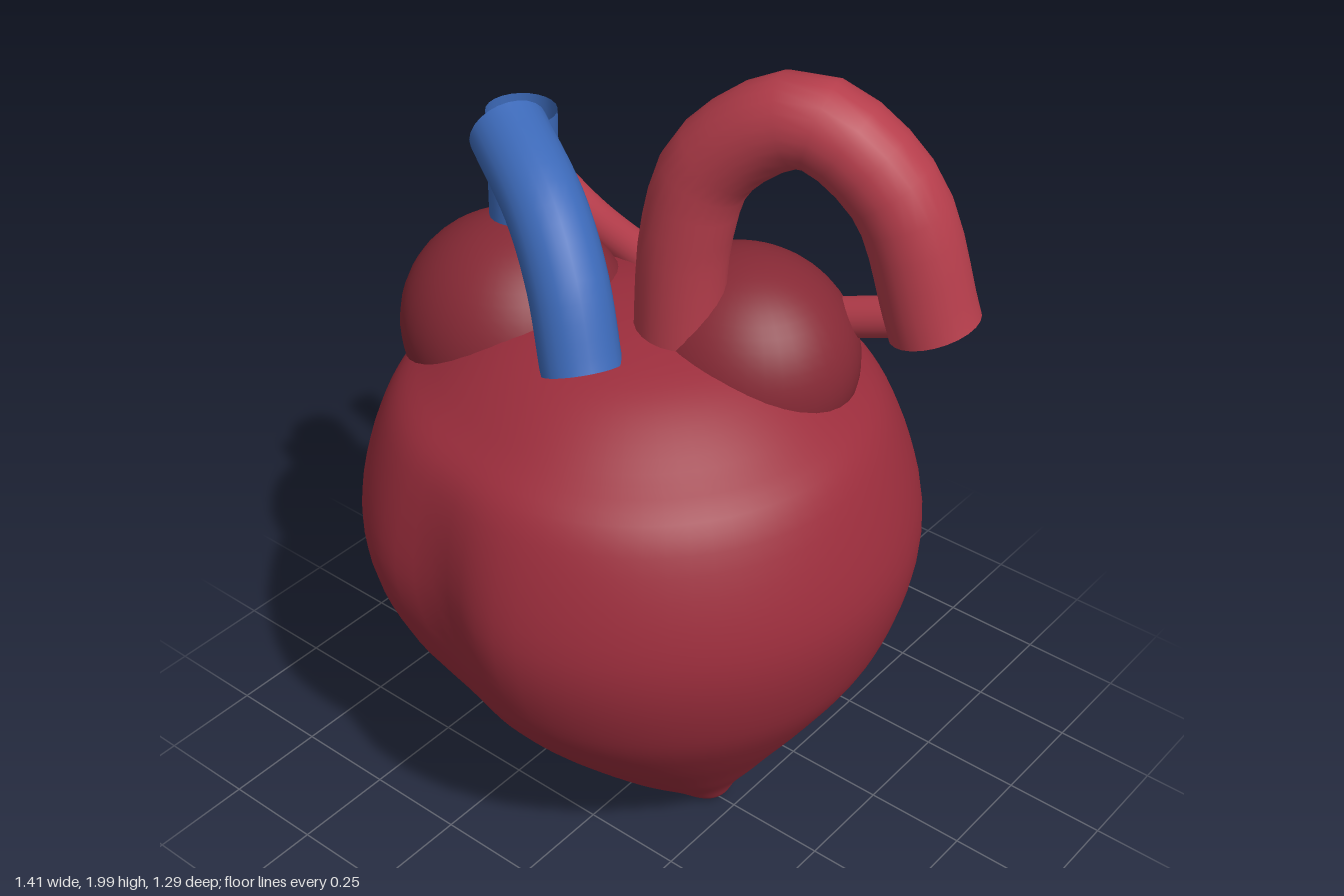
import * as THREE from 'three';
import { mergeVertices } from 'three/addons/utils/BufferGeometryUtils.js';

const V = (x, y, z) => new THREE.Vector3(x, y, z);
const material = (color) => new THREE.MeshStandardMaterial({ color, side: THREE.DoubleSide });
const bodyRed = material(0x9b2d3c);
const atriumRed = material(0x862935);
const arteryRed = material(0xb53d4b);
const veinBlue = material(0x3c69b8);

function addMesh(group, name, geometry, mat) {
  const mesh = new THREE.Mesh(geometry, mat);
  mesh.name = name;
  group.add(mesh);
  return mesh;
}

// Open vessel swept along a smooth path
function addVessel(group, name, points, radius, mat, segments = 16) {
  const path = new THREE.CatmullRomCurve3(points.map((p) => V(...p)));
  addMesh(group, name, new THREE.TubeGeometry(path, segments, radius, 24), mat);
}

// Ventricles: a lathed drop, leaning to its tip, with a shallow groove in front
function ventricleGeometry() {
  const profile = new THREE.SplineCurve([
    [0, 0], [0.05, 0.018], [0.115, 0.07], [0.27, 0.2], [0.46, 0.4], [0.595, 0.6],
    [0.65, 0.84], [0.575, 1.1], [0.46, 1.21], [0.31, 1.305], [0.14, 1.35], [0, 1.36],
  ].map(([r, y]) => new THREE.Vector2(r, y)));
  const points = profile.getPoints(60);
  points.forEach((p) => { p.x = Math.max(p.x, 0); });
  let geometry = new THREE.LatheGeometry(points, 72);
  const pos = geometry.attributes.position;
  for (let i = 0; i < pos.count; i++) {
    const y = pos.getY(i);
    const lean = -0.055 + 0.235 * Math.exp(-y / 0.27);
    const x = pos.getX(i) * 1.015 + lean;
    let z = pos.getZ(i);
    if (z > 0) {
      const groove = Math.exp(-(((x + 0.14) / 0.13) ** 2) - ((y - 0.78) / 0.3) ** 2);
      z -= 0.06 * groove * Math.min(1, z / 0.3);
    }
    pos.setXYZ(i, x, y, z);
  }
  geometry.deleteAttribute('uv');
  geometry.deleteAttribute('normal');
  geometry = mergeVertices(geometry, 1e-4);
  geometry.computeVertexNormals();
  return geometry;
}

export function createModel() {
  const heart = new THREE.Group();
  heart.name = 'heart';

  addMesh(heart, 'ventricles', ventricleGeometry(), bodyRed);

  // Atria
  const atria = [
    ['rightAtrium', [-0.375, 1.205, 0.05], [0.28, 0.268, 0.265]],
    ['leftAtrium', [0.14, 1.24, -0.14], [0.27, 0.245, 0.245]],
  ];
  for (const [name, position, radii] of atria) {
    const atrium = addMesh(heart, name, new THREE.SphereGeometry(1, 40, 28), atriumRed);
    atrium.position.set(...position);
    atrium.scale.set(...radii);
  }

  // Arched aorta
  addVessel(heart, 'aorta', [
    [0.06, 1.28, 0], [0.085, 1.6, 0], [0.14, 1.77, -0.02], [0.33, 1.9, -0.075],
    [0.51, 1.78, -0.13], [0.612, 1.48, -0.165],
  ], 0.1, arteryRed, 20);

  // Pulmonary artery crossing the front
  addVessel(heart, 'pulmonaryArtery', [
    [-0.02, 1.31, 0.23], [-0.09, 1.48, 0.19], [-0.19, 1.6, 0.14], [-0.39, 1.69, 0.04],
  ], 0.09, veinBlue);

  // Great veins above and below the right atrium
  addVessel(heart, 'upperVein', [[-0.39, 1.25, 0], [-0.385, 1.725, 0]], 0.08, veinBlue, 4);
  addVessel(heart, 'lowerVein', [[-0.34, 0.75, -0.04], [-0.33, 0.23, -0.05]], 0.07, veinBlue, 4);

  // Pulmonary veins at the back
  addVessel(heart, 'rightPulmonaryVein', [
    [-0.165, 1.325, -0.19], [-0.4, 1.35, -0.24], [-0.635, 1.425, -0.285],
  ], 0.047, arteryRed);
  addVessel(heart, 'leftPulmonaryVein', [
    [0.31, 1.33, -0.275], [0.48, 1.385, -0.305],
  ], 0.047, arteryRed, 4);

  return heart;
}
